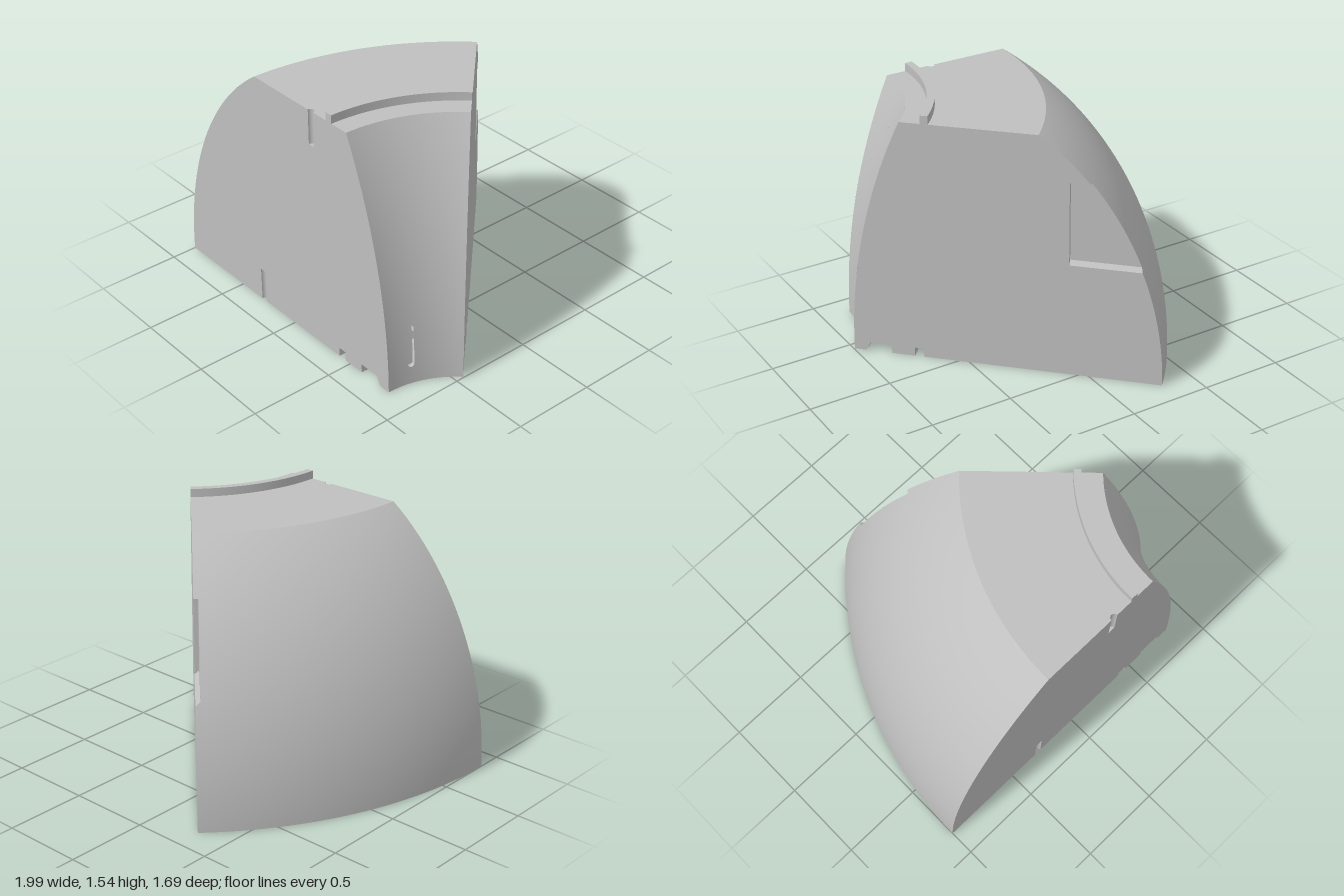
import * as THREE from 'three';

const SPAN = Math.PI / 4, TOP = 1.49, AXIS_X = 1.391, AXIS_Z = 0.845;
const GROOVE_R = 0.0225;
const outerR = y => 0.891 + 1.5 * Math.sqrt(1 - (y / 1.745) ** 2);
const innerR = y => 0.561 + 3.58 - Math.sqrt(3.58 ** 2 - y * y);
const lerp = THREE.MathUtils.lerp;
// point at radius r, wedge angle t, height y
const polar = (r, t, y) => [-r * Math.cos(t), y, -r * Math.sin(t)];

// grid surface from f(u, v) -> [x, y, z]
function patch(f, nu, nv) {
  const pos = [], idx = [];
  for (let j = 0; j <= nv; j++)
    for (let i = 0; i <= nu; i++) pos.push(...f(i / nu, j / nv));
  for (let j = 0; j < nv; j++)
    for (let i = 0; i < nu; i++) {
      const a = j * (nu + 1) + i, b = a + nu + 1;
      idx.push(a, a + 1, b, a + 1, b + 1, b);
    }
  const g = new THREE.BufferGeometry();
  g.setAttribute('position', new THREE.Float32BufferAttribute(pos, 3));
  g.setIndex(idx);
  g.computeVertexNormals();
  return g;
}

const flat = pts => new THREE.ShapeGeometry(new THREE.Shape(pts.map(p => new THREE.Vector2(...p))));

// points along a wall curve, as [-radius, y]
function curve(fn, y0, y1, n = 48) {
  return Array.from({ length: n + 1 }, (_, i) => {
    const y = lerp(y0, y1, i / n);
    return [-fn(y), y];
  });
}

export function createModel() {
  const grey = new THREE.MeshStandardMaterial({ color: 0xbfbfbf, side: THREE.DoubleSide });
  const model = new THREE.Group();
  model.name = 'domeWedge';
  const body = new THREE.Group();
  body.name = 'wedgeBody';
  body.position.set(AXIS_X, 0, AXIS_Z);
  model.add(body);
  const add = (name, geometry, parent = body) => {
    const m = new THREE.Mesh(geometry, grey);
    m.name = name;
    parent.add(m);
    return m;
  };

  // stepped profiles, radius and height
  const rim = [[1.051, TOP], [1.051, 1.54], [1.006, 1.54], [1.006, TOP], [innerR(TOP), TOP]];
  const base = [[0.561, 0], [0.631, 0], [0.642, 0.012], [0.659, 0.055], [0.791, 0.055], [0.791, 0],
    [0.931, 0], [0.931, 0.055], [0.986, 0.055], [0.986, 0]];
  const sweep = (name, pts) => {
    for (let k = 0; k + 1 < pts.length; k++) {
      const [a, b] = [pts[k], pts[k + 1]];
      add(name, patch((u, v) => polar(lerp(a[0], b[0], v), u * SPAN, lerp(a[1], b[1], v)), 40, 1));
    }
  };
  sweep('topRim', rim);
  sweep('baseChannels', base);

  // outer dome, cut short beside the recess
  const REC = { r: 1.846, y0: 0.712, y1: 1.22, depth: 0.027, slope: 0.023 };
  const dome = (y0, y1, d0, d1, rows) => add('outerDome', patch((u, v) => {
    const y = lerp(y0, y1, v), r = outerR(y);
    return polar(r, u * (SPAN - Math.asin(lerp(d0, d1, v) / r)), y);
  }, 48, rows));
  dome(0, REC.y0, 0, 0, 24);
  dome(REC.y0, REC.y0 + REC.slope, 0, REC.depth, 2);
  dome(REC.y0 + REC.slope, REC.y1, REC.depth, REC.depth, 24);
  dome(REC.y1, TOP, 0, 0, 16);

  // inner wall, left open around a rounded slot
  const SLOT = { t: 0.262, w: 0.02, y0: 0.13, y1: 0.36, depth: 0.025 };
  const half = SLOT.w / 0.566;
  const cap = t => SLOT.w * Math.sqrt(Math.max(0, 1 - ((t - SLOT.t) / half) ** 2));
  const low = t => SLOT.y0 - cap(t), high = t => SLOT.y1 + cap(t);
  const wall = (name, t0, t1, y0, y1, nu, nv, depth = 0) => add(name, patch((u, v) => {
    const t = lerp(t0, t1, u), y = lerp(y0(t), y1(t), v);
    return polar(innerR(y) + depth, t, y);
  }, nu, nv));
  const bottom = () => 0, top = () => TOP, ta = SLOT.t - half, tb = SLOT.t + half;
  wall('innerWall', 0, ta, bottom, top, 16, 40);
  wall('innerWall', tb, SPAN, bottom, top, 24, 40);
  wall('innerWall', ta, tb, bottom, low, 16, 4);
  wall('innerWall', ta, tb, high, top, 16, 32);
  wall('slotFloor', ta, tb, low, high, 16, 8, SLOT.depth);
  add('slotSides', patch((u, v) => {
    const a = u * Math.PI * 2, s = Math.sin(a);
    const y = (u <= 0.5 ? SLOT.y1 : SLOT.y0) + SLOT.w * s;
    return polar(innerR(y) + v * SLOT.depth, SLOT.t + half * Math.cos(a), y);
  }, 48, 1));

  // flat top and underside, each notched by a half-round groove
  const ring = (name, r0, r1, y, notchR) => {
    const pts = [];
    const arc = (r, from, to) => {
      for (let i = 0; i <= 48; i++) {
        const t = lerp(from, to, i / 48);
        pts.push([-r * Math.cos(t), r * Math.sin(t)]);
      }
    };
    arc(r1, 0, SPAN);
    arc(r0, SPAN, 0);
    for (let i = 0; i <= 12; i++) {
      const a = i / 12 * Math.PI;
      pts.push([-notchR + GROOVE_R * Math.cos(a), GROOVE_R * Math.sin(a)]);
    }
    add(name, flat(pts).rotateX(-Math.PI / 2)).position.y = y;
  };
  const TOP_N = { r: 1.18, y0: 1.28, y1: TOP, end: 1.28 };
  const LOW_N = { r: 1.68, y0: 0, y1: 0.21, end: 0.21 };
  ring('topFace', 1.051, outerR(TOP), TOP, TOP_N.r);
  ring('underside', 0.986, outerR(0), 0, LOW_N.r);

  // half-round locating grooves in the front face
  for (const n of [TOP_N, LOW_N]) {
    add('grooveWall', new THREE.CylinderGeometry(GROOVE_R, GROOVE_R, n.y1 - n.y0, 16, 1, true, Math.PI / 2, Math.PI))
      .position.set(-n.r, (n.y0 + n.y1) / 2, 0);
    add('grooveEnd', new THREE.CircleGeometry(GROOVE_R, 16, 0, Math.PI).rotateX(-Math.PI / 2))
      .position.set(-n.r, n.end, 0);
  }

  // front cut face
  const neg = pts => pts.map(([r, y]) => [-r, y]);
  const slotOutline = (n, open, dir) => [[-n.r - dir * GROOVE_R, open], [-n.r - dir * GROOVE_R, n.end],
    [-n.r + dir * GROOVE_R, n.end], [-n.r + dir * GROOVE_R, open]];
  const innerEdge = curve(innerR, TOP, 0).slice(1, -1);
  add('frontFace', flat([
    ...curve(outerR, 0, TOP), ...slotOutline(TOP_N, TOP, 1), ...neg(rim), ...innerEdge,
    ...neg(base), ...slotOutline(LOW_N, 0, -1)]));

  // back cut face with a recess opening onto the dome
  const back = new THREE.Group();
  back.name = 'backCut';
  back.rotation.y = -SPAN;
  body.add(back);
  add('backFace', flat([
    ...curve(outerR, 0, REC.y0, 24), [-REC.r, REC.y0], [-REC.r, REC.y1], ...curve(outerR, REC.y1, TOP, 16),
    ...neg(rim), ...innerEdge, ...neg(base)]), back);
  const floorY = REC.y0 + REC.slope;
  add('recessFloor', flat([[-REC.r, floorY], ...curve(outerR, floorY, REC.y1, 24), [-REC.r, REC.y1]]), back)
    .position.z = REC.depth;
  const ledge = (name, yFace, yFloor) => add(name, patch((u, v) => {
    const y = lerp(yFace, yFloor, v);
    return [-lerp(REC.r, outerR(y), u), y, v * REC.depth];
  }, 1, 1), back);
  ledge('recessBottom', REC.y0, floorY);
  ledge('recessTop', REC.y1, REC.y1);
  add('recessSide', patch((u, v) => [-REC.r, lerp(lerp(REC.y0, floorY, v), REC.y1, u), v * REC.depth], 1, 1), back);

  return model;
}
